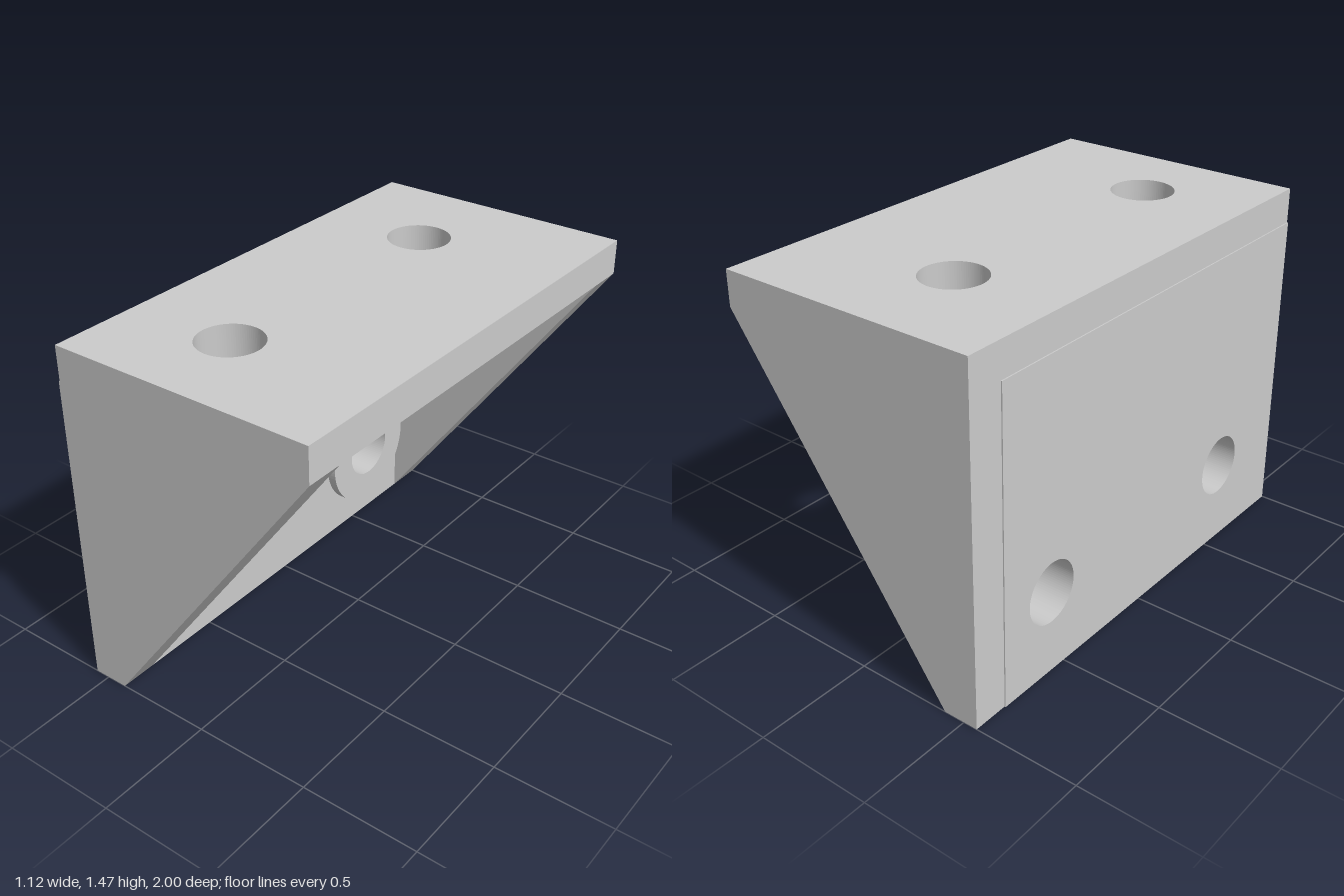
import * as THREE from 'three';

const material = new THREE.MeshStandardMaterial({ color: 0xcccccc });
const HOLE = 0.13;

// Flat plate extruded from a shape; holes are [x, y] centres
function plate(name, shape, holes, depth) {
  for (const [x, y] of holes) {
    shape.holes.push(new THREE.Path().absarc(x, y, HOLE, 0, Math.PI * 2, true));
  }
  const geo = new THREE.ExtrudeGeometry(shape, { depth, bevelEnabled: false, curveSegments: 48 });
  const mesh = new THREE.Mesh(geo, material);
  mesh.name = name;
  return mesh;
}

const polygon = (pts) => new THREE.Shape(pts.map(([x, y]) => new THREE.Vector2(x, y)));
const rect = (x0, y0, x1, y1) => polygon([[x0, y0], [x1, y0], [x1, y1], [x0, y1]]);
const disc = (x, y, r) => new THREE.Shape().absarc(x, y, r, 0, Math.PI * 2, false);

// Shape (z, y), thickness running towards -x from the given x
function facingX(mesh, x) {
  mesh.geometry.rotateY(-Math.PI / 2);
  mesh.position.x = x;
  return mesh;
}

// Shape (x, z), thickness running downwards from the given y
function facingY(mesh, y) {
  mesh.geometry.rotateX(Math.PI / 2);
  mesh.position.y = y;
  return mesh;
}

export function createModel() {
  const group = new THREE.Group();
  group.name = 'cornerBracket';
  const top = 1.47, under = 1.325, inner = -0.41, boss = 0.04;

  // Two flanges, each with a pair of screw holes
  const topHoles = [[-0.1, -0.545, 0.22], [-0.1, 0.61, 0.228]];
  const wallHoles = [[-0.575, 0.355, 0.256], [0.577, 0.36, 0.257]];
  group.add(facingY(plate('topPlate', rect(-0.56, -1, 0.56, 1), topHoles, top - under), top));
  group.add(facingX(plate('wallPlate', rect(-0.845, 0, 0.845, under), wallHoles, 0.155), inner));

  // Raised rings around the holes on the inside
  for (const [x, z, r] of topHoles) {
    group.add(facingY(plate('topBoss', disc(x, z, r), [[x, z]], boss), under));
  }
  for (const [z, y, r] of wallHoles) {
    group.add(facingX(plate('wallBoss', disc(z, y, r), [[z, y]], boss), inner + boss));
  }

  // Sloping side gussets; the front one is flush with the wall plate
  for (const [name, z, back] of [['frontGusset', 0.845, -0.565], ['rearGusset', -1, -0.56]]) {
    const shape = polygon([[back, 0], [inner, 0], [0.56, under], [back, under]]);
    const gusset = plate(name, shape, [], 0.155);
    gusset.position.z = z;
    group.add(gusset);
  }
  return group;
}
